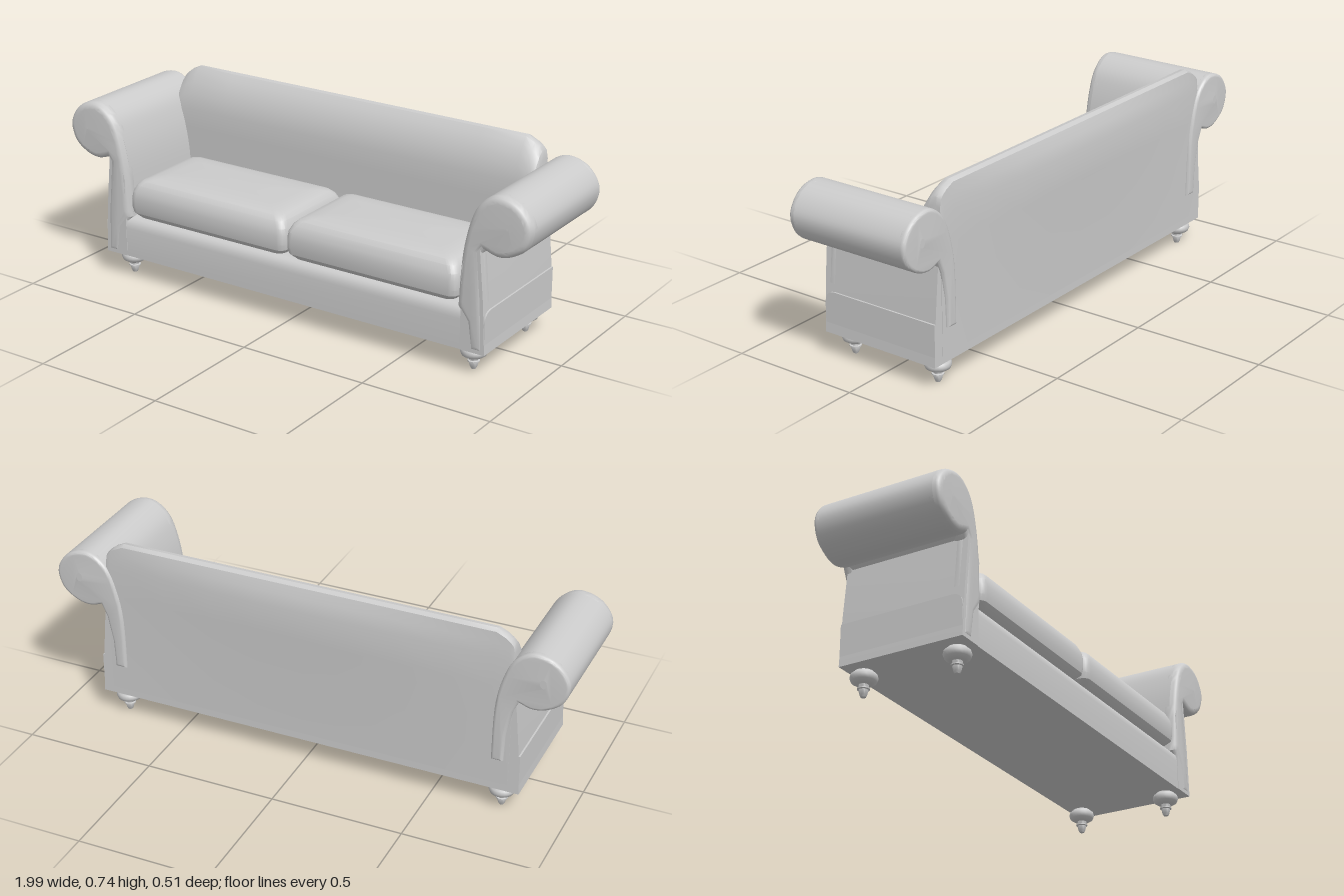
import * as THREE from 'three';
import { toCreasedNormals } from 'three/addons/utils/BufferGeometryUtils.js';

const material = new THREE.MeshStandardMaterial({ color: 0xcccccc });

function add(parent, name, geometry, crease = 0.6) {
  const mesh = new THREE.Mesh(crease ? toCreasedNormals(geometry, crease) : geometry, material);
  mesh.name = name;
  parent.add(mesh);
  return mesh;
}

// Skin a list of closed rings and cap both ends
function loft(rings) {
  const n = rings[0].length, pos = [], idx = [];
  rings.forEach(r => r.forEach(p => pos.push(...p)));
  for (let i = 0; i < rings.length - 1; i++) {
    for (let j = 0; j < n; j++) {
      const a = i * n + j, b = i * n + (j + 1) % n;
      idx.push(a, b, b + n, a, b + n, a + n);
    }
  }
  [0, rings.length - 1].forEach((ri, end) => {
    const c = pos.length / 3;
    for (let k = 0; k < 3; k++) pos.push(rings[ri].reduce((s, p) => s + p[k], 0) / n);
    for (let j = 0; j < n; j++) {
      const a = ri * n + j, b = ri * n + (j + 1) % n;
      if (end) idx.push(c, a, b); else idx.push(c, b, a);
    }
  });
  const g = new THREE.BufferGeometry();
  g.setAttribute('position', new THREE.Float32BufferAttribute(pos, 3));
  g.setIndex(idx);
  g.computeVertexNormals();
  return g;
}

const v2 = list => list.map(p => new THREE.Vector2(...p));

// Rolled arm outline: up the inner face, around the scroll, down the outer wall
function scrollShape(start, outer) {
  const s = new THREE.Shape();
  s.moveTo(...start);
  s.splineThru(v2([[0.73, 0.44], [0.76, 0.575], [0.80, 0.645], [0.865, 0.68], [0.945, 0.658],
    [0.992, 0.59], [0.975, 0.515], [0.92, 0.472], [0.865, 0.46], [0.815, 0.475]]));
  outer.forEach(p => s.lineTo(...p));
  s.closePath();
  return s;
}

function extrude(shape, z, depth, bevel = 0, thickness = 0) {
  return new THREE.ExtrudeGeometry(shape, {
    depth, curveSegments: 5, bevelEnabled: bevel > 0, bevelSize: bevel,
    bevelThickness: thickness, bevelOffset: -bevel, bevelSegments: 4
  }).translate(0, 0, z);
}

// Mirror a geometry across x, keeping the faces outward
function mirrored(g) {
  const m = g.clone().toNonIndexed().scale(-1, 1, 1);
  const p = m.attributes.position;
  for (let i = 0; i < p.count; i += 3) {
    const a = new THREE.Vector3().fromBufferAttribute(p, i + 1);
    const b = new THREE.Vector3().fromBufferAttribute(p, i + 2);
    p.setXYZ(i + 1, b.x, b.y, b.z);
    p.setXYZ(i + 2, a.x, a.y, a.z);
  }
  m.deleteAttribute('uv');
  m.computeVertexNormals();
  return m;
}

function cushionGeometry() {
  const cx = 0.358, cz = 0.055, hx = 0.352, hz = 0.195;
  // height, inset from the widest outline
  const levels = [[0.245, 0.04], [0.255, 0.02], [0.277, 0], [0.3, -0.004], [0.335, -0.004], [0.36, 0],
    [0.385, 0.012], [0.4, 0.028], [0.408, 0.055], [0.412, 0.1]];
  return loft(levels.map(([y, inset]) => {
    const ring = [], r = 0.03;
    [[1, -1], [-1, -1], [-1, 1], [1, 1]].forEach(([sx, sz], q) => {
      for (let k = 0; k <= 4; k++) {
        const t = (q + k / 4) * Math.PI / 2;
        ring.push([cx + sx * (hx - inset - r) + r * Math.cos(t), y,
          cz + sz * (hz - inset - r) - r * Math.sin(t)]);
      }
    });
    return ring;
  }));
}

function backrestGeometry() {
  // z, y and how far each point follows the bowed back
  const profile = [[-0.236, 0.12, 0], [-0.237, 0.38, 0.3], [-0.238, 0.52, 0.7], [-0.238, 0.64, 1],
    [-0.236, 0.69, 0.6], [-0.235, 0.727, 0], [-0.218, 0.735, 0], [-0.2, 0.732, 0], [-0.18, 0.71, 0],
    [-0.163, 0.68, 0], [-0.145, 0.64, 0], [-0.135, 0.58, 0], [-0.135, 0.5, 0], [-0.138, 0.4, 0],
    [-0.135, 0.25, 0], [-0.135, 0.12, 0]];
  // half of the stations: x and the top height there
  const half = [[0.79, 0.66], [0.785, 0.69], [0.772, 0.705], [0.755, 0.718], [0.72, 0.735], [0.55, 0.735],
    [0.36, 0.735], [0.18, 0.735]];
  const stations = [...half.map(([x, t]) => [-x, t]), [0, 0.735], ...half.slice().reverse()];
  return loft(stations.map(([x, top]) => profile.map(([z, y, bow]) =>
    [x, y > 0.5 ? 0.5 + (y - 0.5) * (top - 0.5) / 0.235 : y, z - 0.019 * bow * (1 - (x / 0.8) ** 2)])));
}

export function createModel() {
  const sofa = new THREE.Group();
  sofa.name = 'sofa';

  // Base with a softly rounded front rail
  const rail = new THREE.Shape();
  rail.moveTo(-0.25, 0.092);
  rail.lineTo(0.235, 0.092);
  rail.lineTo(0.235, 0.25);
  rail.lineTo(-0.21, 0.25);
  rail.quadraticCurveTo(-0.247, 0.248, -0.25, 0.205);
  rail.closePath();
  add(sofa, 'base', extrude(rail, -0.83, 1.66).rotateY(Math.PI / 2));

  add(sofa, 'backrest', backrestGeometry());

  // Arm pieces for the +x side
  const roll = scrollShape([0.715, 0.2], [[0.80, 0.46], [0.82, 0.25], [0.825, 0.2]]);

  const wall = new THREE.Shape(v2([[0.735, 0.092], [0.832, 0.092], [0.822, 0.28], [0.803, 0.48], [0.76, 0.5], [0.735, 0.4]]));

  const front = scrollShape([0.718, 0.25], [[0.805, 0.46], [0.822, 0.28], [0.83, 0.094], [0.77, 0.094], [0.755, 0.2]]);
  const dimple = new THREE.Path();
  dimple.absellipse(0.905, 0.572, 0.022, 0.03, 0, Math.PI * 2, true);
  front.holes.push(dimple);

  const rear = scrollShape([0.725, 0.22], [[0.795, 0.43], [0.775, 0.33], [0.77, 0.22]]);
  const rearDimple = new THREE.Path();
  rearDimple.absellipse(0.9, 0.572, 0.025, 0.03, 0, Math.PI * 2, true);
  rear.holes.push(rearDimple);

  const armParts = {
    ArmRoll: extrude(roll, -0.235, 0.462),
    ArmWall: extrude(wall, -0.235, 0.487),
    ArmFrontScroll: extrude(front, 0.21, 0.02, 0.024, 0.025),
    ArmRearScroll: extrude(rear, -0.237, 0.012, 0.012, 0.013)
  };
  const cushion = cushionGeometry();
  for (const side of ['left', 'right']) {
    const place = g => side === 'left' ? g : mirrored(g);
    for (const [part, g] of Object.entries(armParts)) add(sofa, side + part, place(g));
    add(sofa, side + 'SeatCushion', place(cushion), 0.45);
  }

  // Turned feet
  const foot = new THREE.LatheGeometry(v2([[0, 0], [0.009, 0], [0.013, 0.008], [0.017, 0.024], [0.017, 0.026],
    [0.022, 0.028], [0.022, 0.032], [0.017, 0.034], [0.018, 0.044], [0.03, 0.046], [0.044, 0.055],
    [0.049, 0.068], [0.046, 0.08], [0.034, 0.09], [0.03, 0.1]]), 24);
  for (const x of [0.755, -0.755]) {
    for (const z of [0.185, -0.185]) {
      add(sofa, (z > 0 ? 'front' : 'back') + (x > 0 ? 'Left' : 'Right') + 'Foot', foot, 0.8).position.set(x, 0, z);
    }
  }
  return sofa;
}
